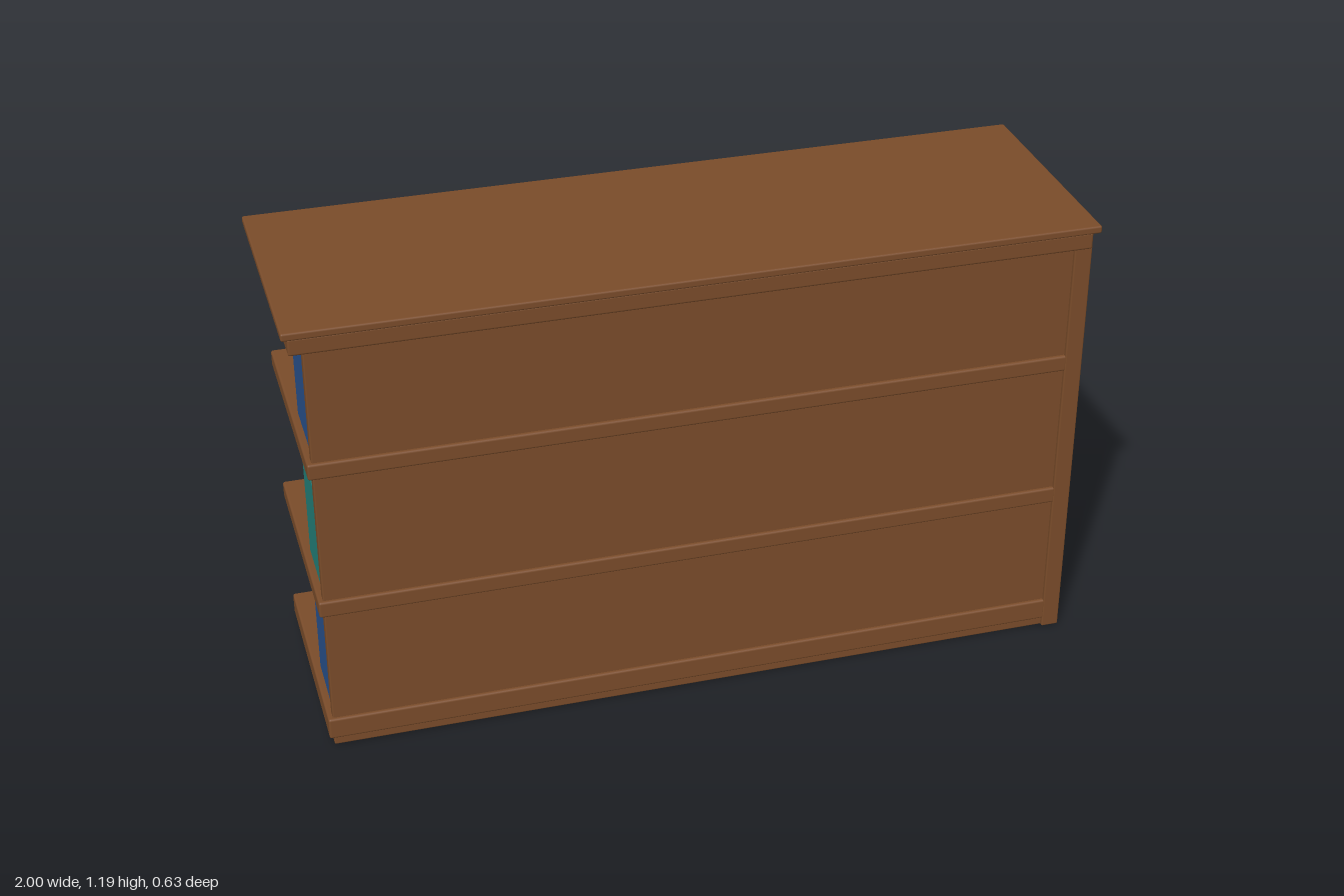
import * as THREE from 'three';
import { RoundedBoxGeometry } from 'three/addons/geometries/RoundedBoxGeometry.js';

const mat = (name, color) => {
  const m = new THREE.MeshStandardMaterial({ color });
  m.name = name;
  return m;
};

const wood = mat('wood', 0x7a4c2a);
const cream = mat('cream', 0xd8cfb8);
const gold = mat('mustard gold', 0xc39a38);

// one letter per book colour
const colours = {
  R: mat('red', 0x963232),
  B: mat('blue', 0x28528e),
  T: mat('teal', 0x23807a),
  G: mat('green', 0x2f764a),
  P: mat('purple', 0x58388a),
  N: mat('brown leather', 0x733f24),
  Y: gold,
  C: cream,
};

// small seeded generator
let seed = 17;
const rand = (a, b) => {
  seed = (seed * 16807) % 2147483647;
  return a + (b - a) * (seed / 2147483647);
};

const unitBox = new THREE.BoxGeometry(1, 1, 1);

// box given by its extents on each axis
function box(parent, name, material, [x0, x1], [y0, y1], [z0, z1]) {
  const m = new THREE.Mesh(unitBox, material);
  m.name = name;
  m.scale.set(x1 - x0, y1 - y0, z1 - z0);
  m.position.set((x0 + x1) / 2, (y0 + y1) / 2, (z0 + z1) / 2);
  parent.add(m);
}

// wooden board with slightly worn edges
function board(parent, name, [x0, x1], [y0, y1], [z0, z1], r = 0.004) {
  const m = new THREE.Mesh(new RoundedBoxGeometry(x1 - x0, y1 - y0, z1 - z0, 2, r), wood);
  m.name = name;
  m.position.set((x0 + x1) / 2, (y0 + y1) / 2, (z0 + z1) / 2);
  parent.add(m);
}

// book standing on y with its spine towards -z
function makeBook(key, x0, x1, y, h, z0, z1) {
  const g = new THREE.Group();
  g.name = 'book';
  const cover = colours[key];
  const t = 0.005;
  box(g, 'spine', cover, [x0, x1], [y, y + h], [z0, z0 + t]);
  box(g, 'coverBoard', cover, [x0, x0 + t], [y, y + h], [z0 + t, z1]);
  box(g, 'coverBoard', cover, [x1 - t, x1], [y, y + h], [z0 + t, z1]);
  box(g, 'pages', cream, [x0 + t, x1 - t], [y + 0.004, y + h - 0.006], [z0 + t, z1 - 0.006]);

  // bands and title labels on the spine
  const trim = key === 'Y' ? cream : key === 'C' || rand(0, 1) < 0.65 ? gold : cream;
  const band = (at, tall) =>
    box(g, 'spineBand', trim, [x0 + 0.001, x1 - 0.001], [y + h * at, y + h * at + tall], [z0 - 0.002, z0 + 0.001]);
  const style = rand(0, 1);
  if (style < 0.45) {
    band(0.22, 0.009);
    band(0.72, 0.009);
  } else if (style < 0.7) {
    band(0.58, 0.03);
  } else if (style < 0.9) {
    band(0.45, 0.009);
    band(0.53, 0.009);
  }
  return g;
}

// row of books from the side wall (+x) to the open end (-x);
// each entry is a colour letter and a relative thickness
function makeRow(list, y, minH, maxH) {
  const row = new THREE.Group();
  row.name = 'bookRow';
  const entries = list.split(' ').map((e) => [e[0], Number(e.slice(1))]);
  const xStart = 0.94, xEnd = -0.945;
  const fit = (xStart - xEnd) / entries.reduce((sum, e) => sum + e[1], 0);
  let x = xStart;
  for (const [key, thickness] of entries) {
    const next = x - thickness * fit;
    row.add(makeBook(key, next + 0.001, x - 0.001, y, rand(minH, maxH), rand(0.038, 0.068), 0.248));
    x = next;
  }
  return row;
}

export function createModel() {
  const model = new THREE.Group();
  model.name = 'bookcase';

  // carcass: closed at +z and +x, open at -z and -x
  board(model, 'baseBoard', [-0.95, 0.96], [0, 0.035], [-0.28, 0.28]);
  board(model, 'sideWall', [0.945, 0.991], [0, 1.128], [-0.287, 0.29]);
  board(model, 'frontPanel', [-0.95, 0.955], [0.005, 1.135], [0.25, 0.28]);

  // shelves standing slightly proud of the panel
  for (const [y0, y1] of [[0.025, 0.083], [0.39, 0.434], [0.78, 0.823]]) {
    board(model, 'shelf', [-0.962, 0.95], [y0, y1], [-0.29, 0.289], 0.006);
  }

  // stepped top
  board(model, 'topMoulding', [-0.985, 0.984], [1.125, 1.17], [-0.305, 0.305], 0.006);
  board(model, 'topBoard', [-1, 1], [1.17, 1.19], [-0.315, 0.315], 0.005);

  // books
  const books = new THREE.Group();
  books.name = 'books';
  books.add(makeRow(
    'R8 N6 G6 T7 Y6 R6 C5 B7 G7 C7 R6 P12 B9 T6 C6 N7 G7 P6 B8 G11 R8 P7 T7 R10 T7 B7 R7 Y6 P10 Y7 T10 G12 C6 T6 B7 B8',
    0.083, 0.262, 0.288));
  books.add(makeRow(
    'Y10 C13 R7 P6 B9 C12 P7 B12 Y7 T5 R6 Y9 C9 Y13 P8 P10 B12 T6 G7 B9 T6 N8 Y10 P12 T7 R7 G8 R12 T7 Y8 T9 T8',
    0.434, 0.27, 0.325));
  books.add(makeRow(
    'N5 R5 C11 R6 R7 N12 C9 B8 T7 Y8 B9 C8 Y9 R12 C7 T8 R13 T14 R13 G11 C10 T8 B7 Y7 B9 Y6 G8 C8 R6 T9 G9 P9 B8',
    0.823, 0.255, 0.287));
  model.add(books);

  return model;
}
